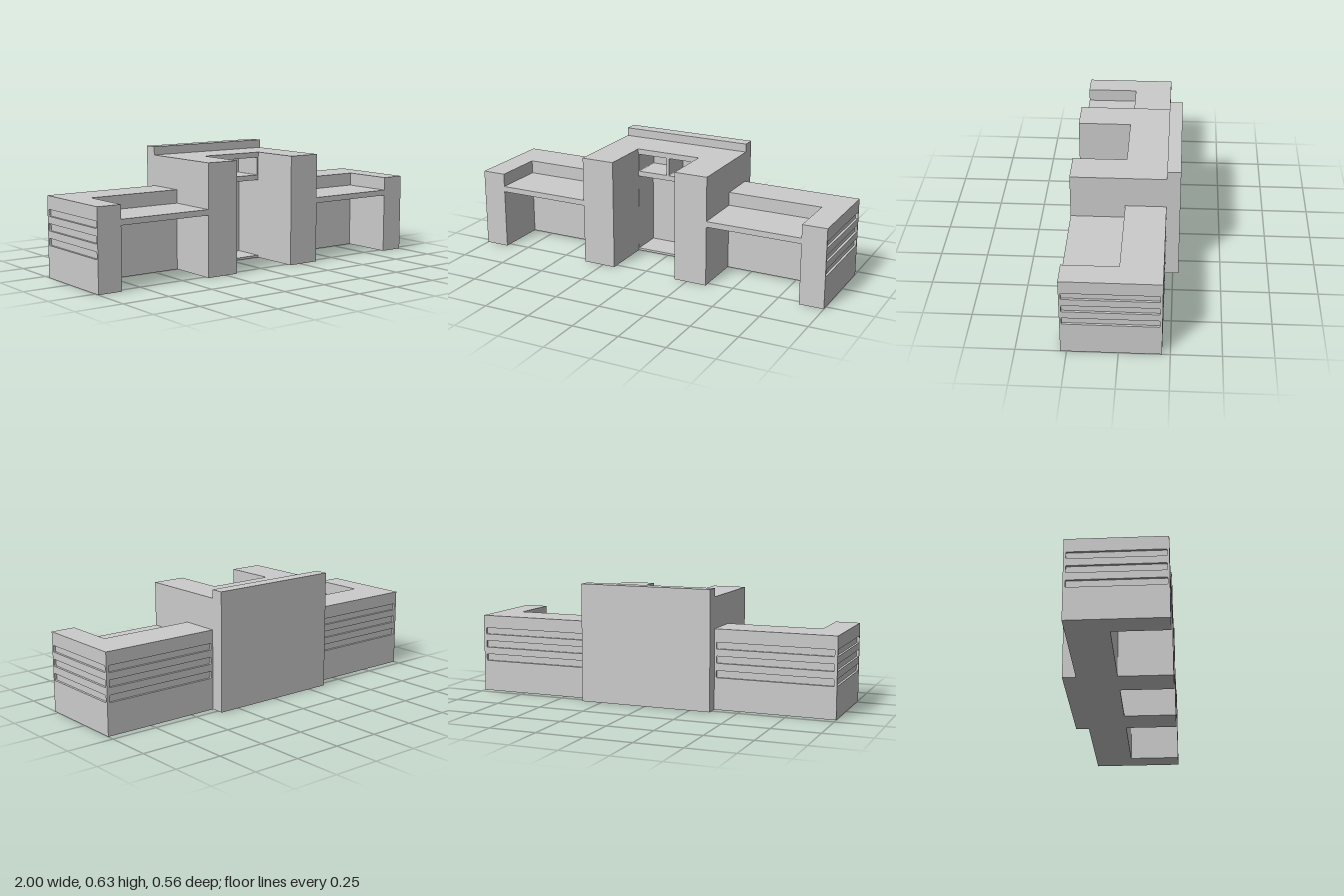
import * as THREE from 'three';

const material = new THREE.MeshStandardMaterial({ color: 0xcccccc, flatShading: true });

export function createModel() {
  const model = new THREE.Group();
  model.name = 'receptionDesk';

  function add(name, geometry) {
    const mesh = new THREE.Mesh(geometry, material);
    mesh.name = name;
    model.add(mesh);
  }

  // Box between two corners, in any order along x
  function box(name, xa, xb, y0, y1, z0, z1) {
    const g = new THREE.BoxGeometry(Math.abs(xb - xa), y1 - y0, z1 - z0);
    g.translate((xa + xb) / 2, (y0 + y1) / 2, (z0 + z1) / 2);
    add(name, g);
  }

  // Rectangle with slightly rounded corners
  function rect(xa, xb, y0, y1, r = 0, Type = THREE.Shape) {
    const x0 = Math.min(xa, xb), x1 = Math.max(xa, xb);
    const p = new Type();
    p.moveTo(x0 + r, y0);
    p.lineTo(x1 - r, y0);
    if (r) p.quadraticCurveTo(x1, y0, x1, y0 + r);
    p.lineTo(x1, y1 - r);
    if (r) p.quadraticCurveTo(x1, y1, x1 - r, y1);
    p.lineTo(x0 + r, y1);
    if (r) p.quadraticCurveTo(x0, y1, x0, y1 - r);
    p.lineTo(x0, y0 + r);
    if (r) p.quadraticCurveTo(x0, y0, x0 + r, y0);
    return p;
  }

  const extrude = (shape, depth) =>
    new THREE.ExtrudeGeometry(shape, { depth, bevelEnabled: false, curveSegments: 3 });

  const front = 0.28, rear = -0.21;
  const groove = 0.012;
  const deskHeight = 0.421;
  const grooveRows = [[0.168, 0.205], [0.243, 0.28], [0.317, 0.352]];

  // Cladding panel cut by three long horizontal grooves
  function groovedPanel(xa, xb, holeA, holeB) {
    const panel = rect(xa, xb, 0, deskHeight);
    for (const [y0, y1] of grooveRows) {
      panel.holes.push(rect(holeA, holeB, y0, y1, 0.005, THREE.Path));
    }
    return extrude(panel, groove);
  }

  // Side desks, mirrored left and right
  for (const s of [1, -1]) {
    const side = s > 0 ? 'left' : 'right';
    const outer = 1 - groove, back = rear + groove;

    // L-shaped counter: raised rear ledge and end pillar
    const plan = [[0.36, back], [outer, back], [outer, front], [0.87, front], [0.87, 0], [0.36, 0]];
    const counter = extrude(new THREE.Shape(plan.map(([x, z]) => new THREE.Vector2(s * x, -z))), deskHeight);
    counter.rotateX(-Math.PI / 2);
    add(side + 'Counter', counter);

    // Lower work surface over the knee space
    box(side + 'WorkSurface', s * 0.36, s * 0.87, 0.32, 0.35, 0, front);

    // Grooved end and rear cladding
    const end = groovedPanel(-front, -rear, -0.27, 0.198);
    end.rotateY(Math.PI / 2);
    end.translate(s > 0 ? outer : -1, 0, 0);
    add(side + 'EndPanel', end);

    const rearPanel = groovedPanel(s * 0.36, s * outer, s * 0.37, s * 0.985);
    rearPanel.translate(0, 0, rear);
    add(side + 'RearPanel', rearPanel);

    // Tall pillar beside the central bay
    box(side + 'Pillar', s * 0.18, s * 0.36, 0, 0.585, rear, front);
  }

  // Central bay with a large niche and two pigeonholes
  const cavityBack = -0.17;
  const bay = rect(-0.18, 0.18, 0, 0.585);
  bay.holes.push(
    rect(-0.179, 0.179, 0.012, 0.432, 0, THREE.Path),
    rect(-0.175, -0.008, 0.46, 0.556, 0.004, THREE.Path),
    rect(0.005, 0.173, 0.46, 0.556, 0.004, THREE.Path)
  );
  const bayGeometry = extrude(bay, -cavityBack);
  bayGeometry.translate(0, 0, cavityBack);
  add('centralBay', bayGeometry);
  box('bayBack', -0.18, 0.18, 0, 0.585, rear, cavityBack);

  // Tall slab behind the centre
  box('backSlab', -0.36, 0.36, 0, 0.629, -0.28, rear);

  return model;
}
